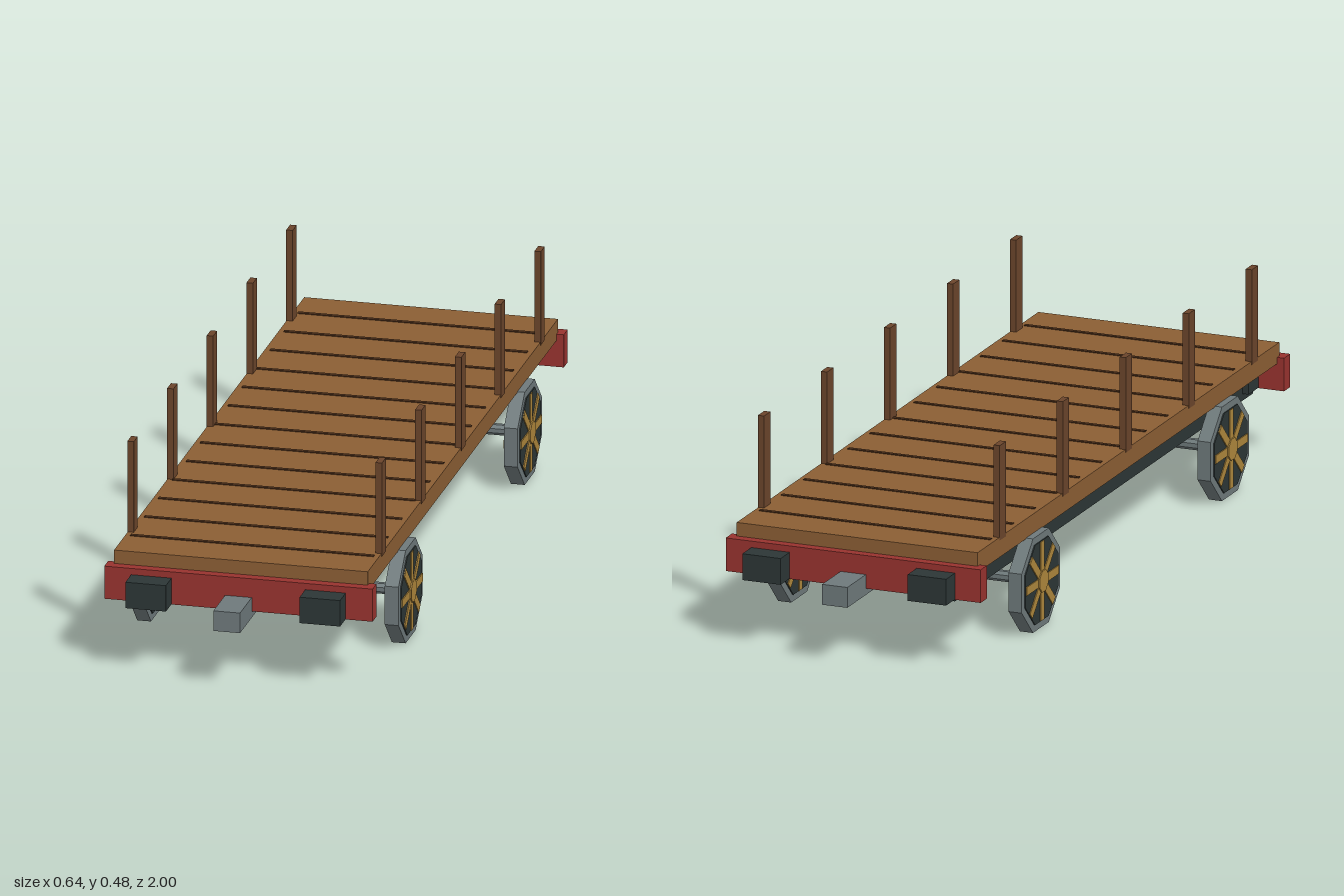
import * as THREE from 'three';

const material = (name, color) => {
  const m = new THREE.MeshStandardMaterial({ color });
  m.name = name;
  return m;
};

export function createModel() {
  const timber = material('deck timber', 0x8b5e34);
  const darkTimber = material('stake timber', 0x6b452b);
  const gap = material('plank gap', 0x4f311b);
  const red = material('red paint', 0x98332f);
  const iron = material('dark iron', 0x2c3636);
  const steel = material('grey steel', 0x6e797b);
  const gold = material('yellow spokes', 0xae873c);

  const model = new THREE.Group();
  model.name = 'flatWagon';

  const add = (parent, name, geometry, mat, x, y, z) => {
    const mesh = new THREE.Mesh(geometry, mat);
    mesh.name = name;
    mesh.position.set(x, y, z);
    parent.add(mesh);
    return mesh;
  };
  const box = (parent, name, mat, w, h, d, x, y, z) =>
    add(parent, name, new THREE.BoxGeometry(w, h, d), mat, x, y, z);

  // Eight-sided drum lying along x, with flats at top, bottom and sides
  const drum = (radius, width) => {
    const geometry = new THREE.CylinderGeometry(radius, radius, width, 8).toNonIndexed();
    geometry.rotateY(Math.PI / 8);
    geometry.rotateZ(Math.PI / 2);
    geometry.computeVertexNormals();
    return geometry;
  };

  // Deck with dark gaps between the planks
  box(model, 'deck', timber, 0.59, 0.047, 1.74, 0, 0.2435, 0);
  for (let i = -6; i <= 6; i++) {
    box(model, 'plankGap', gap, 0.566, 0.004, 0.01, 0, 0.267, i * 0.1275);
  }

  for (const side of [-1, 1]) {
    // Long frame beams and the row of stakes along each edge
    box(model, 'frameBeam', iron, 0.032, 0.078, 1.72, side * 0.219, 0.181, 0);
    for (let i = -2; i <= 2; i++) {
      box(model, 'stake', darkTimber, 0.015, 0.224, 0.036, side * 0.2885, 0.372, i * 0.3635);
    }
  }

  // End beams, buffers and couplers
  for (const end of [-1, 1]) {
    box(model, 'endBeam', red, 0.624, 0.078, 0.036, 0, 0.196, end * 0.875);
    box(model, 'coupler', steel, 0.062, 0.048, 0.4, 0, 0.166, end * 0.8);
    for (const side of [-1, 1]) {
      box(model, 'buffer', iron, 0.094, 0.062, 0.145, side * 0.2025, 0.189, end * 0.8725);
    }
  }

  // Wheel sets: eight-sided rims, dark discs and crossed spokes
  for (const end of [-1, 1]) {
    const wheelSet = new THREE.Group();
    wheelSet.name = 'wheelSet';
    wheelSet.position.set(0, 0.111, end * 0.545);
    model.add(wheelSet);
    add(wheelSet, 'axle', drum(0.0132, 0.58), steel, 0, 0, 0);
    for (const side of [-1, 1]) {
      const wheel = new THREE.Group();
      wheel.name = 'wheel';
      wheel.position.x = side * 0.296;
      wheelSet.add(wheel);
      add(wheel, 'rim', drum(0.12, 0.032), steel, 0, 0, 0);
      add(wheel, 'disc', drum(0.102, 0.037), iron, 0, 0, 0);
      add(wheel, 'hub', drum(0.027, 0.048), gold, 0, 0, 0);
      for (let i = 0; i < 4; i++) {
        // Tiny width steps keep the crossing faces apart
        const spoke = box(wheel, 'spoke', gold, 0.041 + i * 0.0004, 0.186, 0.02, 0, 0, 0);
        spoke.rotation.x = i * Math.PI / 4;
      }
    }
  }

  return model;
}
